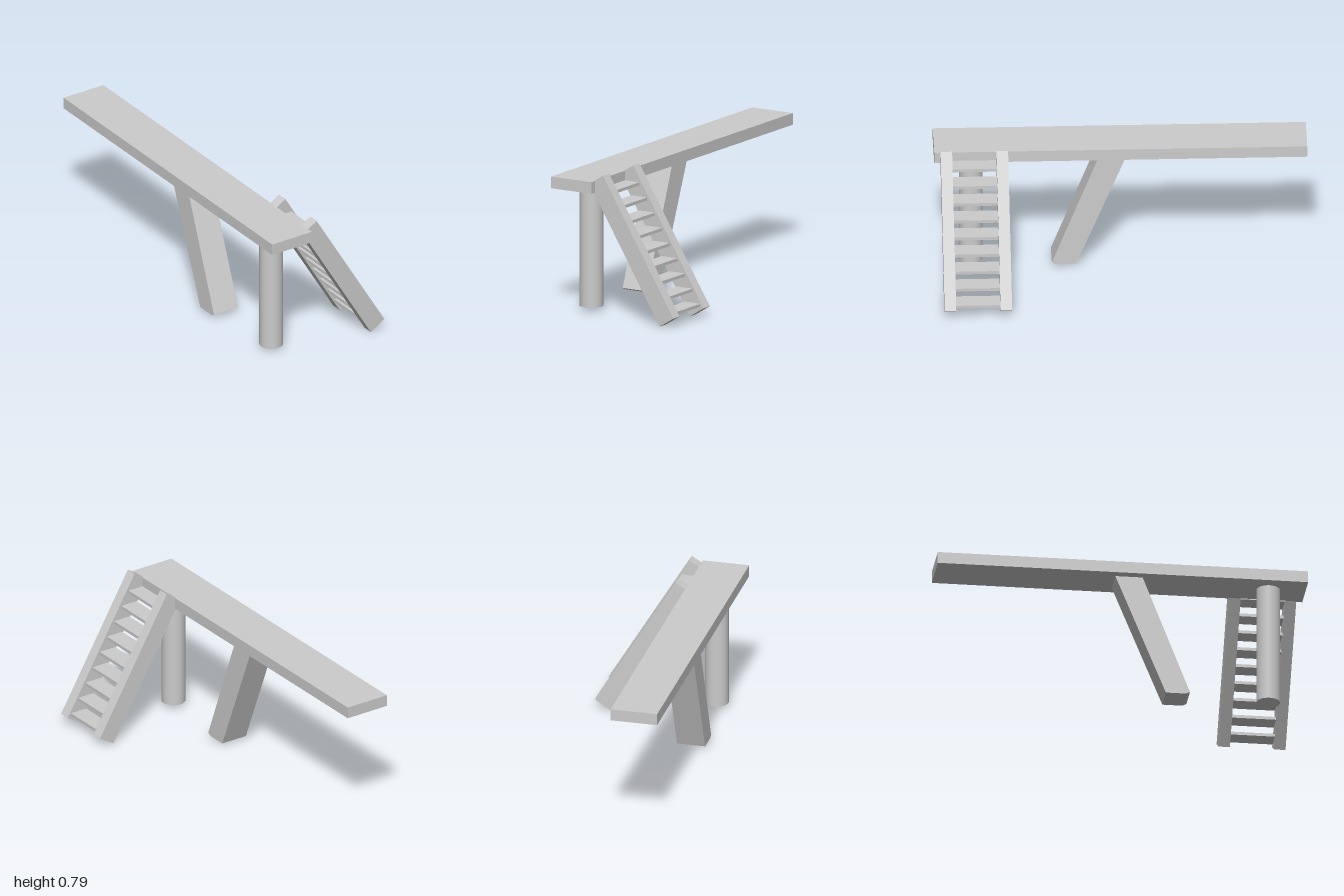
import * as THREE from 'three';

const material = new THREE.MeshStandardMaterial({ color: 0xcccccc });

function addMesh(parent, name, geometry, x = 0, y = 0, z = 0) {
  const mesh = new THREE.Mesh(geometry, material);
  mesh.name = name;
  mesh.position.set(x, y, z);
  parent.add(mesh);
  return mesh;
}

function prism(points, depth) {
  const shape = new THREE.Shape(points.map(([x, y]) => new THREE.Vector2(x, y)));
  return new THREE.ExtrudeGeometry(shape, { depth, bevelEnabled: false });
}

export function createModel() {
  const group = new THREE.Group();
  group.name = 'raisedWalkway';

  // Long deck
  addMesh(group, 'deck', new THREE.BoxGeometry(0.257, 0.064, 2), -0.2485, 0.722, 0);

  // Round column under the front end
  addMesh(group, 'column', new THREE.CylinderGeometry(0.064, 0.064, 0.675, 32), -0.249, 0.3625, 0.8);

  // Slanted square leg, profile given as (-z, y) and swept along x
  const leg = prism([[-0.368, 0.028], [-0.345, 0.017], [-0.238, 0.017], [0.039, 0.7], [-0.109, 0.7]], 0.155);
  leg.rotateY(Math.PI / 2);
  addMesh(group, 'slantedLeg', leg, -0.327, 0, 0);

  // Staircase on the left side of the deck
  const stairs = new THREE.Group();
  stairs.name = 'stairs';
  group.add(stairs);

  // Two stringers, leaning very slightly towards the front
  const lean = new THREE.Matrix4().set(1, 0, 0, 0, 0, 1, 0, 0, 0, 0.01, 1, 0, 0, 0, 0, 1);
  for (const [name, z] of [['frontStringer', 0.898], ['backStringer', 0.598]]) {
    const stringer = prism([[0.288, 0.003], [0.375, 0.057], [-0.068, 0.79], [-0.155, 0.736]], 0.062);
    stringer.applyMatrix4(lean);
    addMesh(stairs, name, stringer, 0, 0, z);
  }

  // Nine thin treads
  for (let i = 0; i < 9; i++) {
    addMesh(stairs, 'tread', new THREE.BoxGeometry(0.1, 0.017, 0.245),
      0.304 - i * 0.0478, 0.071 + i * 0.0778, 0.782 + i * 0.0008);
  }

  return group;
}
